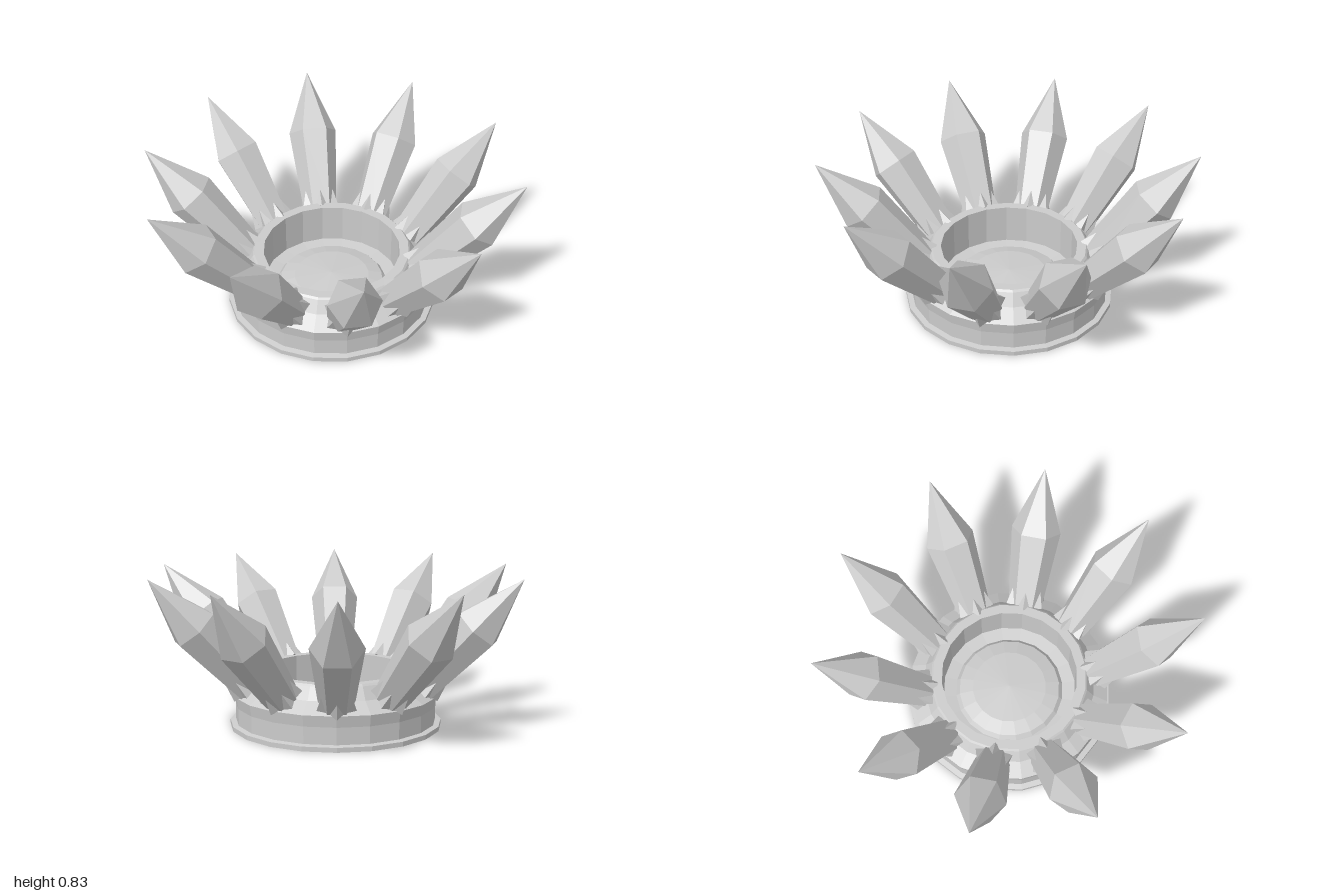
import * as THREE from 'three';

const material = new THREE.MeshStandardMaterial({ color: 0xcccccc, flatShading: true });

function lathe(name, profile, sides) {
  const points = profile.map(([r, y]) => new THREE.Vector2(r, y));
  const mesh = new THREE.Mesh(new THREE.LatheGeometry(points, sides), material);
  mesh.name = name;
  return mesh;
}

export function createModel() {
  const model = new THREE.Group();
  model.name = 'spikedCrown';

  // Band: foot, outer wall, sloping shelf, rim and hollow with a low dome
  model.add(lathe('band', [
    [0, 0], [0.57, 0], [0.57, 0.025], [0.54, 0.03], [0.54, 0.12], [0.55, 0.18],
    [0.47, 0.235], [0.43, 0.3], [0.42, 0.31], [0.37, 0.31], [0.37, 0.09],
    [0.3, 0.08], [0.28, 0.105], [0.205, 0.125], [0, 0.14],
  ], 20));

  // Ten crystal spikes leaning outwards
  for (let i = 0; i < 10; i++) {
    const arm = new THREE.Group();
    arm.name = 'spikeArm' + (i + 1);
    arm.rotation.y = (i * Math.PI) / 5;
    const spike = new THREE.Group();
    spike.name = 'spike';
    spike.position.set(0, 0.24, 0.475);
    spike.rotation.x = 0.727;

    const crystal = lathe('crystal', [[0, 0], [0.095, 0], [0.135, 0.44], [0, 0.79]], 6);
    crystal.rotation.y = Math.PI / 6;
    spike.add(crystal);

    // Pointed claws gripping the root of the crystal
    for (let k = 0; k < 6; k++) {
      const a = (k * Math.PI) / 3;
      const claw = new THREE.Mesh(new THREE.ConeGeometry(0.036, 0.13, 4), material);
      claw.name = 'claw';
      claw.position.set(Math.sin(a) * 0.08, 0.065, Math.cos(a) * 0.08);
      claw.rotation.y = a;
      spike.add(claw);
    }
    arm.add(spike);
    model.add(arm);
  }
  return model;
}
